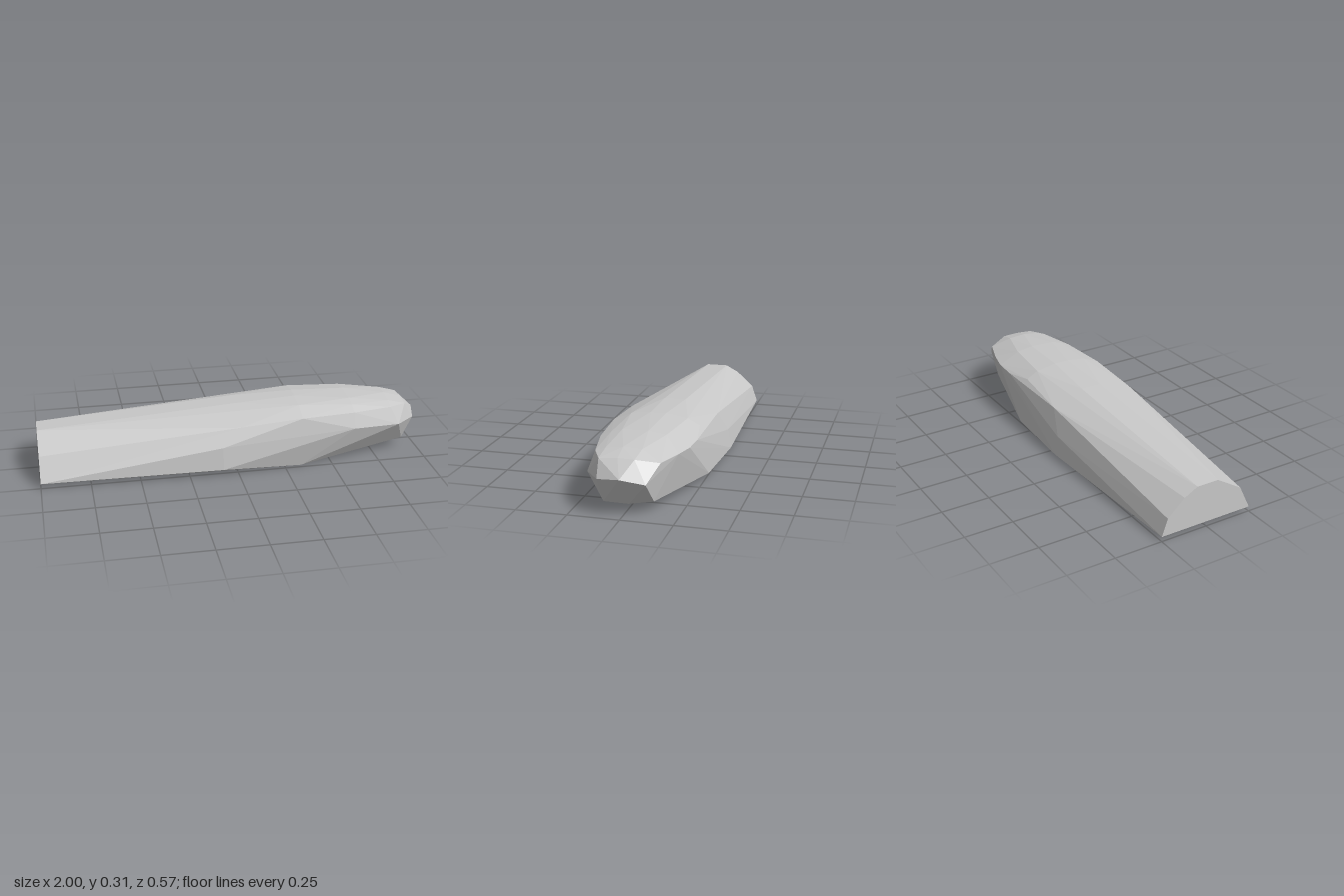
import * as THREE from 'three';
import { ConvexGeometry } from 'three/addons/geometries/ConvexGeometry.js';

// Corner points [y, z] of each cross-section, from the flat tail to the nose
const sections = [
  { x: -1, yz: [[0.025, 0.25], [0.148, 0.19], [0.232, 0.055], [0.232, -0.06], [0.195, -0.13], [0.113, -0.22], [0.025, -0.25]] },
  { x: -0.08, yz: [[0.035, 0.283], [0.15, 0.268], [0.02, -0.283], [0.12, -0.266]] },
  { x: 0.02, yz: [[0.24, 0.233], [0.299, 0.05], [0.299, -0.06], [0.235, -0.23]] },
  { x: 0.34, yz: [[0, 0.228], [0.262, 0.23], [0.3, 0.14], [0.313, 0.04], [0.313, -0.04], [0.295, -0.15], [0.262, -0.212], [0.02, -0.26]] },
  { x: 0.5, yz: [[0, 0.1], [0, -0.055], [0.24, -0.237]] },
  { x: 0.62, yz: [[0.185, 0.235], [0.264, 0.208], [0.288, 0.155], [0.303, 0.1], [0.308, -0.03], [0.295, -0.12], [0.24, -0.231]] },
  { x: 0.73, yz: [[0.242, -0.206]] },
  { x: 0.83, yz: [[0.262, 0.165], [0.279, 0.115], [0.29, 0.03], [0.285, -0.06]] },
  { x: 0.87, yz: [[0.172, 0.192], [0.24, -0.157], [0.053, -0.125]] },
  { x: 0.92, yz: [[0.052, 0.1], [0.05, -0.02], [0.258, 0.12], [0.265, 0.03], [0.263, -0.05]] },
  { x: 0.97, yz: [[0.175, 0.115], [0.165, -0.115]] },
  { x: 1, yz: [[0.19, 0]] },
];

export function createModel() {
  const model = new THREE.Group();
  const stone = new THREE.MeshStandardMaterial({ color: 0xc8c8c8 });
  stone.name = 'stoneGrey';

  // Faceted hull wrapped around all the cross-sections
  const points = sections.flatMap(({ x, yz }) => yz.map(([y, z]) => new THREE.Vector3(x, y, z)));
  const body = new THREE.Mesh(new ConvexGeometry(points), stone);
  body.name = 'facetedBody';
  model.add(body);
  return model;
}
